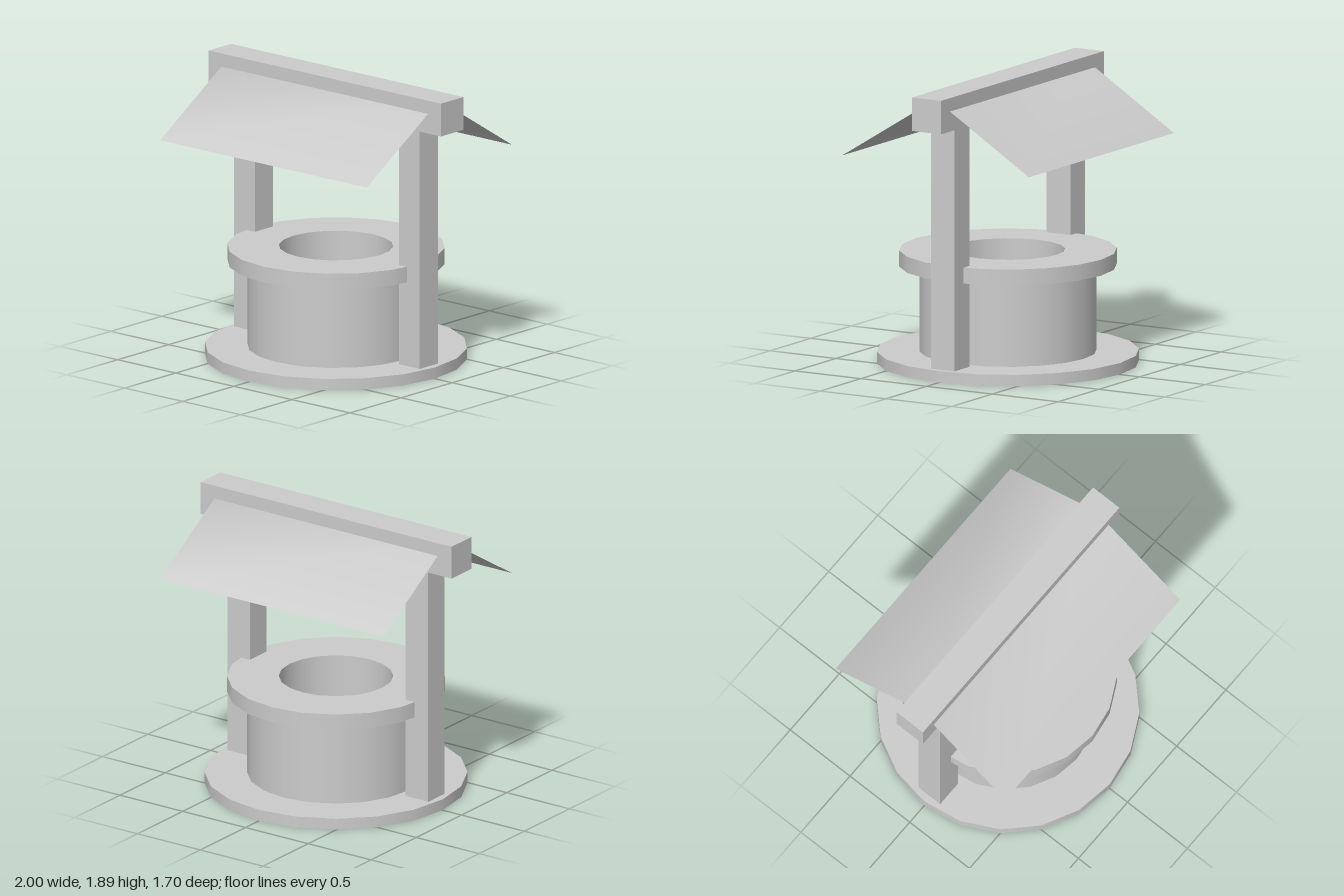
import * as THREE from 'three';
import { mergeGeometries } from 'three/addons/utils/BufferGeometryUtils.js';

const SIDES = 20;

export function createModel() {
  const well = new THREE.Group();
  well.name = 'well';
  const material = new THREE.MeshStandardMaterial({ color: 0xcccccc });
  const sheetMaterial = new THREE.MeshStandardMaterial({ color: 0xcccccc, side: THREE.DoubleSide });

  function add(name, geometry, x = 0, y = 0, z = 0, mat = material) {
    const mesh = new THREE.Mesh(geometry, mat);
    mesh.name = name;
    mesh.position.set(x, y, z);
    well.add(mesh);
    return mesh;
  }

  // Turned shape, smooth around the axis with sharp edges between profile segments
  function turned(profile) {
    const points = profile.map(([r, y]) => new THREE.Vector2(r, y));
    return mergeGeometries(points.slice(1).map((p, i) => new THREE.LatheGeometry([points[i], p], SIDES)));
  }

  // Round ground slab
  add('base', new THREE.CylinderGeometry(0.85, 0.85, 0.075, SIDES), 0, 0.0375);

  // Hollow stone wall with an overhanging rim
  add('wall', turned([[0.575, 0.075], [0.575, 0.635]]));
  add('rim', turned([[0.575, 0.635], [0.705, 0.635], [0.705, 0.74], [0.37, 0.74]]));
  add('shaft', turned([[0.37, 0.74], [0.37, 0.076], [0, 0.076]]));

  // Posts standing through the rim, up to the beam
  for (const side of [-1, 1]) {
    add(side > 0 ? 'leftPost' : 'rightPost', new THREE.BoxGeometry(0.18, 1.6, 0.18), side * 0.71, 0.875);
  }

  // Ridge beam
  add('ridgeBeam', new THREE.BoxGeometry(2, 0.22, 0.22), 0, 1.78);

  // Thin folded roof sheet, its ridge hidden in the beam
  const roof = new THREE.PlaneGeometry(1.78, 1.42, 1, 2).rotateX(-Math.PI / 2);
  const position = roof.attributes.position;
  for (let i = 0; i < position.count; i++) {
    position.setY(i, 1.87 - 0.62 * Math.abs(position.getZ(i)));
  }
  roof.computeVertexNormals();
  add('roof', roof, 0, 0, 0, sheetMaterial);

  return well;
}
